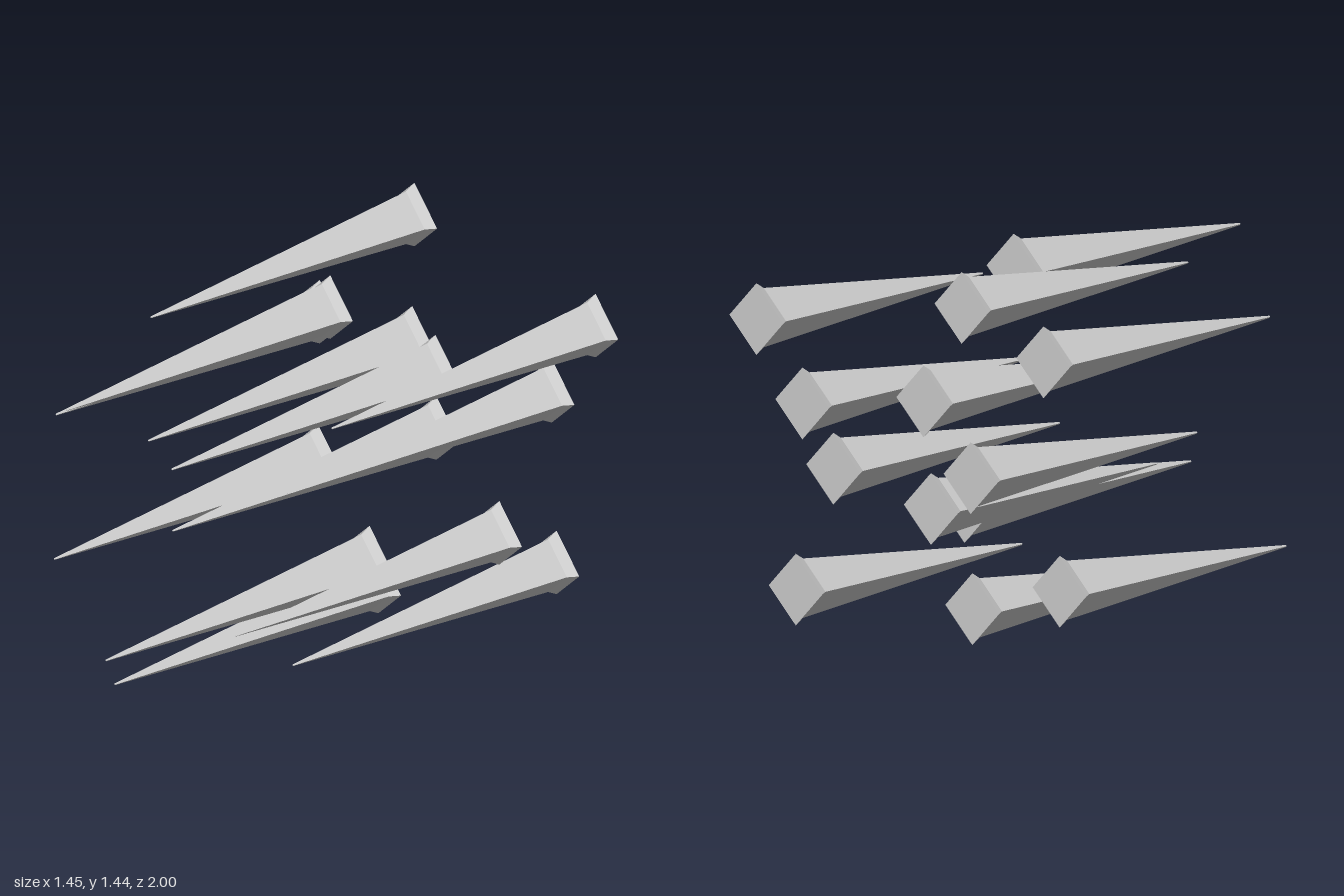
import * as THREE from 'three';

// x, y of each spike's axis and z of its tip
const SPIKES = [
  [-0.34, 1.305, 0.325], [0, 1.31, 0.97], [0.5, 1.18, 0.18],
  [-0.35, 1.055, 0.74], [0, 0.905, 0.5], [0.36, 0.885, 0.265],
  [-0.46, 0.725, 0.24], [-0.14, 0.555, 0.385], [0.595, 0.565, 0.685],
  [0.26, 0.427, 1.0], [-0.6, 0.295, 0.55], [0.4, 0.215, 0.275],
  [0, 0.129, 0.755],
];
const LENGTH = 1.18;

export function createModel() {
  const group = new THREE.Group();
  group.name = 'spikeVolley';

  // Four-sided spike: flat back, short flared collar, long taper to the tip
  const profile = [
    [0, -LENGTH], [0.128, -LENGTH], [0.106, -LENGTH + 0.038], [0.004, -0.002], [0, 0],
  ].map(([r, y]) => new THREE.Vector2(r, y));
  const geometry = new THREE.LatheGeometry(profile, 4);
  geometry.rotateX(Math.PI / 2); // point the tip forward

  const material = new THREE.MeshStandardMaterial({ color: 0xcccccc, flatShading: true });

  SPIKES.forEach(([x, y, z], i) => {
    const spike = new THREE.Mesh(geometry, material);
    spike.name = `spike${i + 1}`;
    spike.position.set(x, y, z);
    group.add(spike);
  });
  return group;
}
